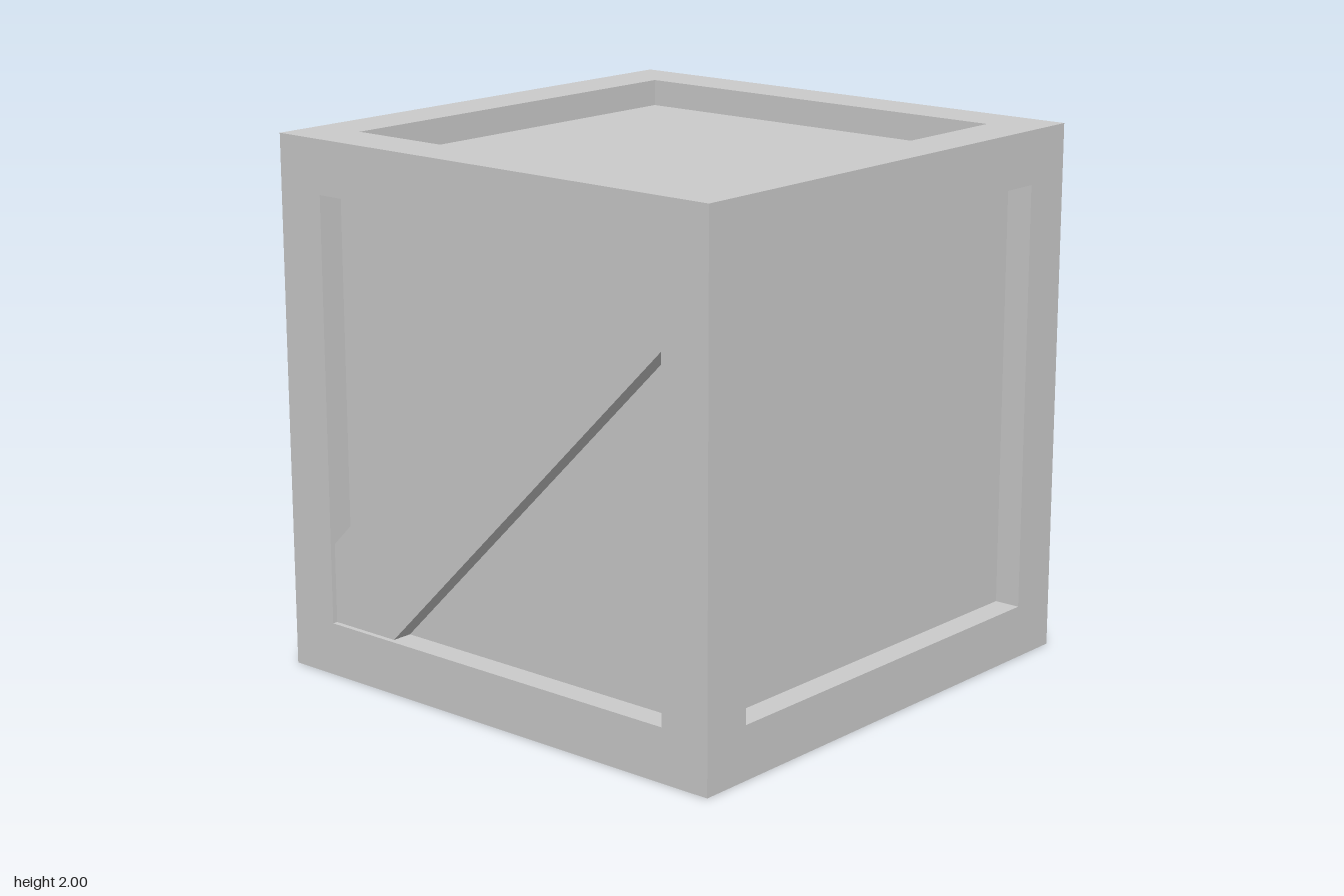
import * as THREE from 'three';

export function createModel() {
  const group = new THREE.Group();
  group.name = 'crate';
  const material = new THREE.MeshStandardMaterial({ color: 0xcccccc, flatShading: true });

  const SIZE = 2;        // outer edge length
  const BEAM = 0.2;      // frame beam width
  const RECESS = 0.1;    // panels sit this far behind the frame
  const BRACE_GAP = 0.02; // brace sits just behind the frame face
  const OPEN = SIZE - 2 * BEAM;
  const mid = SIZE / 2;

  function add(name, geometry, x, y, z, parent = group) {
    const mesh = new THREE.Mesh(geometry, material);
    mesh.name = name;
    mesh.position.set(x, y, z);
    parent.add(mesh);
    return mesh;
  }

  // Inner box whose faces are the six recessed panels
  const inner = SIZE - 2 * RECESS;
  add('panels', new THREE.BoxGeometry(inner, inner, inner), 0, mid, 0);

  // Twelve beams: full-height posts, with rails butted between them
  const frame = new THREE.Group();
  frame.name = 'frame';
  group.add(frame);
  const post = new THREE.BoxGeometry(BEAM, SIZE, BEAM);
  const railX = new THREE.BoxGeometry(OPEN, BEAM, BEAM);
  const railZ = new THREE.BoxGeometry(BEAM, BEAM, OPEN);
  const c = (SIZE - BEAM) / 2;
  for (const a of [-c, c]) {
    for (const b of [-c, c]) {
      add('post', post, a, mid, b, frame);
      add('crossRail', railX, 0, mid + a, b, frame);
      add('sideRail', railZ, a, mid + b, 0, frame);
    }
  }

  // Diagonal braces on front and back, trimmed to the frame opening
  const h = OPEN / 2;
  const cut = 0.3;
  const outline = new THREE.Shape([
    [-h, -h], [-h + cut, -h], [h, h - cut], [h, h], [h - cut, h], [-h, -h + cut],
  ].map(([x, y]) => new THREE.Vector2(x, y)));
  const depth = RECESS - BRACE_GAP;
  const brace = new THREE.ExtrudeGeometry(outline, { depth, bevelEnabled: false });
  add('frontBrace', brace, 0, mid, mid - RECESS);
  add('backBrace', brace, 0, mid, -mid + BRACE_GAP);

  return group;
}
